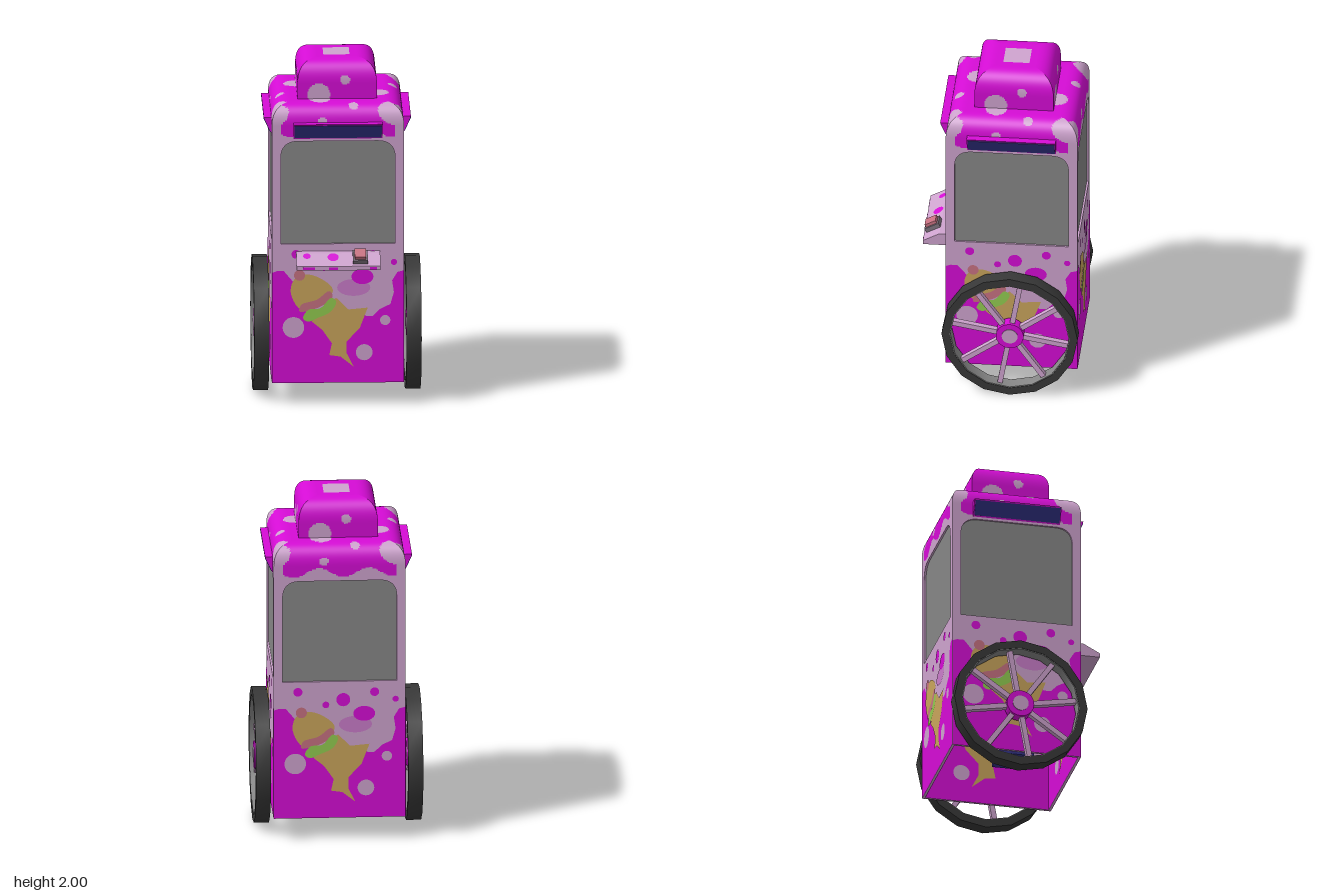
import * as THREE from 'three';
import { toCreasedNormals } from 'three/addons/utils/BufferGeometryUtils.js';

const paint = (name, color) => new THREE.MeshStandardMaterial({ name, color, side: THREE.DoubleSide });
const pale = paint('pale lilac', 0xcfa4cf), magenta = paint('magenta', 0xd60cd6), glass = paint('window grey', 0x878787),
  tan = paint('wafer tan', 0xcaa55c), navy = paint('navy', 0x333388), rubber = paint('tyre black', 0x383838),
  pink = paint('berry pink', 0xc87282), green = paint('mint green', 0x92cc50), orchid = paint('orchid', 0xcb7dcb),
  casing = paint('casing grey', 0x807480);

const HALF = 0.378, BASE = 0.135, EAVE = 1.58, THICK = 0.015;

function add(parent, name, geometry, material, x = 0, y = 0, z = 0) {
  const mesh = new THREE.Mesh(geometry, material);
  mesh.name = name;
  mesh.position.set(x, y, z);
  parent.add(mesh);
  return mesh;
}

const polygon = (pts) => new THREE.Shape(pts.map(([x, y]) => new THREE.Vector2(x, y)));
const blob = (pts) => new THREE.Shape(
  new THREE.CatmullRomCurve3(pts.map(([x, y]) => new THREE.Vector3(x, y, 0)), true)
    .getPoints(pts.length * 5).slice(0, -1).map((p) => new THREE.Vector2(p.x, p.y)));

// Window outline with rounded upper corners
function windowShape() {
  const s = new THREE.Shape(), w = 0.327, r = 0.1;
  s.moveTo(-w, 0.96).lineTo(w, 0.96).lineTo(w, 1.57 - r);
  s.quadraticCurveTo(w, 1.57, w - r, 1.57).lineTo(r - w, 1.57);
  s.quadraticCurveTo(-w, 1.57, -w, 1.57 - r).lineTo(-w, 0.96);
  return s;
}

// Flat painted artwork: [name, material, layer, shape]
function artwork() {
  const list = [];
  const dots = (name, mat, layer, items) => items.forEach(([x, y, r, k = 1]) => {
    const s = new THREE.Shape();
    s.absellipse(x, y, r * k, r, 0, Math.PI * 2, false, 0);
    list.push([name, mat, layer, s]);
  });
  list.push(['lowerPaint', magenta, 1, polygon([
    [-HALF, BASE], [HALF, BASE], [HALF, 0.8], [0.34, 0.79], [0.31, 0.74], [0.32, 0.67], [0.3, 0.6], [0.24, 0.57],
    [0.2, 0.53], [0.16, 0.53], [0.12, 0.57], [0.05, 0.55], [-0.1, 0.5], [-0.2, 0.62], [-0.26, 0.74], [-0.31, 0.8],
    [-0.35, 0.8], [-HALF, 0.79]])]);
  dots('paleSpot', pale, 2, [[-0.255, 0.465, 0.062], [0.15, 0.315, 0.048], [0.27, 0.505, 0.03]]);
  dots('orchidScoop', orchid, 2, [[0.09, 0.7, 0.05, 1.9]]);
  dots('magentaSpot', magenta, 3, [[0.14, 0.765, 0.045, 1.4], [-0.24, 0.9, 0.026], [0.02, 0.85, 0.04],
    [0.2, 0.895, 0.026], [-0.08, 0.82, 0.02], [0.32, 0.85, 0.018]]);
  list.push(['iceCreamScoop', tan, 3, blob([[-0.27, 0.67], [-0.25, 0.75], [-0.18, 0.78], [-0.09, 0.75],
    [-0.03, 0.69], [-0.05, 0.64], [-0.12, 0.61], [-0.21, 0.57]])]);
  list.push(['wafer', tan, 3, polygon([[-0.15, 0.5], [-0.1, 0.58], [-0.01, 0.64], [0.06, 0.57], [0.17, 0.58],
    [0.125, 0.46], [0.05, 0.38], [0.05, 0.31], [0.09, 0.23], [0.015, 0.29], [-0.05, 0.3], [-0.035, 0.37], [-0.09, 0.45]])]);
  list.push(['berryStripe', pink, 4, blob([[-0.22, 0.56], [-0.21, 0.6], [-0.12, 0.63], [-0.05, 0.68],
    [-0.03, 0.65], [-0.08, 0.6], [-0.15, 0.57]])]);
  list.push(['mintStripe', green, 5, blob([[-0.2, 0.52], [-0.17, 0.57], [-0.1, 0.58], [-0.04, 0.64],
    [-0.01, 0.62], [-0.04, 0.56], [-0.12, 0.52], [-0.17, 0.5]])]);
  dots('cherry', pink, 4, [[-0.22, 0.775, 0.032]]);
  return list;
}

// One wall: panel with recessed window, painted on both faces
function wall(art) {
  const g = new THREE.Group();
  const outline = polygon([[-HALF, BASE], [HALF, BASE], [HALF, EAVE], [-HALF, EAVE]]);
  outline.holes.push(windowShape());
  add(g, 'wallPanel', new THREE.ExtrudeGeometry(outline, { depth: THICK, bevelEnabled: false }), pale, 0, 0, HALF - THICK);
  add(g, 'window', new THREE.ShapeGeometry(windowShape(), 8), glass, 0, 0, HALF - 0.011);
  for (const [name, mat, layer, shape] of art) {
    const geo = new THREE.ShapeGeometry(shape, 12);
    add(g, name, geo, mat, 0, 0, HALF + layer * 0.0012);
    add(g, name + 'Inside', geo, mat, 0, 0, HALF - THICK - layer * 0.0012);
  }
  return g;
}

// Sloping lamp over a window
function lamp(g) {
  const s = polygon([[-0.06, 1.585], [0, 1.585], [0.043, 1.68], [-0.06, 1.68]]);
  const geo = new THREE.ExtrudeGeometry(s, { depth: 0.51, bevelEnabled: false });
  geo.rotateY(-Math.PI / 2);
  add(g, 'lampHousing', geo, magenta, 0.255, 0, HALF);
  add(g, 'lampPanel', new THREE.BoxGeometry(0.5, 0.088, 0.006), navy, 0, 1.632, HALF + 0.0225)
    .rotation.x = Math.atan2(0.043, 0.095);
}

// Square loft of a half-width/height profile, each cell coloured by a rule
function paintedLoft(parent, name, path, isPale, cols = 72, rows = 44) {
  const pts = path.getSpacedPoints(rows);
  const pos = [], groups = [[], []];
  pts.forEach((p) => {
    for (let i = 0; i <= cols; i++) pos.push((i / cols * 2 - 1) * p.x, p.y, p.x);
  });
  for (let j = 0; j < rows; j++) for (let i = 0; i < cols; i++) {
    const a = j * (cols + 1) + i, b = a + cols + 1;
    const h = (pts[j].x + pts[j + 1].x) / 2, y = (pts[j].y + pts[j + 1].y) / 2;
    const u = ((i + 0.5) / cols * 2 - 1) * h;
    groups[isPale(u, h, y) ? 1 : 0].push(a, a + 1, b, a + 1, b + 1, b);
  }
  const geo = new THREE.BufferGeometry();
  geo.setAttribute('position', new THREE.Float32BufferAttribute(pos, 3));
  geo.setIndex(groups.flat());
  geo.addGroup(0, groups[0].length, 0);
  geo.addGroup(groups[0].length, groups[1].length, 1);
  geo.computeVertexNormals();
  for (let k = 0; k < 4; k++) add(parent, name, geo, [magenta, pale]).rotation.y = k * Math.PI / 2;
}

const inSpot = (x, y, [cx, cy, r]) => Math.hypot(x - cx, y - cy) < r;

function roofIsPale(u, h, y) {
  const s = y + HALF - h;
  if (inSpot(u, h, [-0.1, 0.237, 0.06]) || inSpot(u, h, [0.09, 0.327, 0.027])) return true;
  if (inSpot(u, s, [0.34, 1.77, 0.11]) || inSpot(u, s, [-0.37, 1.75, 0.09])) return true;
  if (inSpot(u, s, [-0.09, 1.69, 0.025])) return true;
  return (Math.abs(u) > 0.33 && s < 1.75) || y < 1.62 + 0.028 * Math.cos(u * 22 + 2.6);
}

const domeIsPale = (u, h, y) => inSpot(u, y, [-0.105, 1.805, 0.065]) || inSpot(u, y, [0.045, 1.89, 0.028]);

// Spoked wheel, axle along x
function wheel() {
  const g = new THREE.Group();
  const ring = (r0, r1, w) => toCreasedNormals(new THREE.LatheGeometry(
    [[r0, -w], [r1, -w], [r1, w], [r0, w], [r0, -w]].map(([r, y]) => new THREE.Vector2(r, y)), 16)
    .rotateZ(Math.PI / 2), 0.6);
  add(g, 'tyre', ring(0.345, 0.391, 0.043), rubber);
  add(g, 'innerRim', ring(0.34, 0.346, 0.04), glass);
  const disc = (r, w) => new THREE.CylinderGeometry(r, r, w, 20).rotateZ(Math.PI / 2);
  add(g, 'hub', disc(0.08, 0.07), magenta);
  add(g, 'hubCap', disc(0.046, 0.078), pale);
  for (let i = 0; i < 8; i++) {
    const spoke = new THREE.BoxGeometry(0.035, 0.29, 0.03).translate(0, 0.2, 0);
    add(g, 'spoke', spoke, pale).rotation.x = -(10 + i * 45) * Math.PI / 180;
  }
  return g;
}

// Front serving shelf with a push button
function shelf() {
  const g = new THREE.Group();
  g.name = 'shelf';
  const s = polygon([[0.3, 0.842], [0.455, 0.842], [0.455, 0.866], [0.36, 0.917], [0.3, 0.917]]);
  const geo = new THREE.ExtrudeGeometry(s, { depth: 0.48, bevelEnabled: false }).rotateY(-Math.PI / 2);
  add(g, 'shelfBoard', geo, pale, 0.24);
  const slope = new THREE.Group();
  slope.name = 'shelfTop';
  slope.position.set(0, 0.8915, 0.4075);
  slope.rotation.x = Math.atan2(0.051, 0.095);
  g.add(slope);
  const spot = (r) => new THREE.CircleGeometry(r, 20).rotateX(-Math.PI / 2);
  add(slope, 'shelfSpot', spot(0.032), magenta, -0.03, 0.002, -0.02);
  add(slope, 'shelfSpot', spot(0.022), magenta, -0.18, 0.002, -0.03);
  add(slope, 'buttonBase', new THREE.BoxGeometry(0.085, 0.03, 0.09), casing, 0.125, 0.012, -0.008);
  add(slope, 'button', new THREE.BoxGeometry(0.065, 0.025, 0.07), pink, 0.125, 0.033, -0.008);
  for (const [x, w] of [[-0.17, 0.07], [-0.03, 0.05], [0.2, 0.04]])
    add(g, 'shelfEdgeSpot', new THREE.BoxGeometry(w, 0.014, 0.004), magenta, x, 0.853, 0.455);
  return g;
}

export function createModel() {
  const model = new THREE.Group();
  model.name = 'iceCreamKiosk';
  const body = new THREE.Group();
  body.name = 'body';
  body.position.z = -0.067;
  model.add(body);

  // Four matching walls; the rear one has no lamp
  const art = artwork();
  ['frontWall', 'leftWall', 'backWall', 'rightWall'].forEach((name, k) => {
    const g = wall(art);
    g.name = name;
    g.rotation.y = k * Math.PI / 2;
    if (k !== 2) lamp(g);
    body.add(g);
  });

  // Rounded roof and raised dome
  const roof = new THREE.Path();
  roof.moveTo(HALF, EAVE).lineTo(HALF, 1.66);
  roof.quadraticCurveTo(HALF, 1.78, 0.27, 1.78).lineTo(0.2, 1.78);
  paintedLoft(body, 'roof', roof, roofIsPale);
  const dome = new THREE.Path();
  dome.moveTo(0.227, 1.77).lineTo(0.227, 1.87);
  dome.quadraticCurveTo(0.227, 2, 0.115, 2).lineTo(0.075, 2);
  paintedLoft(body, 'dome', dome, domeIsPale);
  add(body, 'domeTop', new THREE.PlaneGeometry(0.15, 0.15).rotateX(-Math.PI / 2), pale, 0, 2, 0);

  // Wheels, machinery box inside the open base, shelf
  for (const side of [-1, 1]) {
    const w = wheel();
    w.name = side > 0 ? 'leftWheel' : 'rightWheel';
    w.position.set(side * 0.436, 0.393, -0.065);
    model.add(w);
  }
  add(model, 'machineryBox', new THREE.BoxGeometry(0.2, 0.2, 0.2), navy, 0, 0.345, 0);
  model.add(shelf());
  return model;
}
